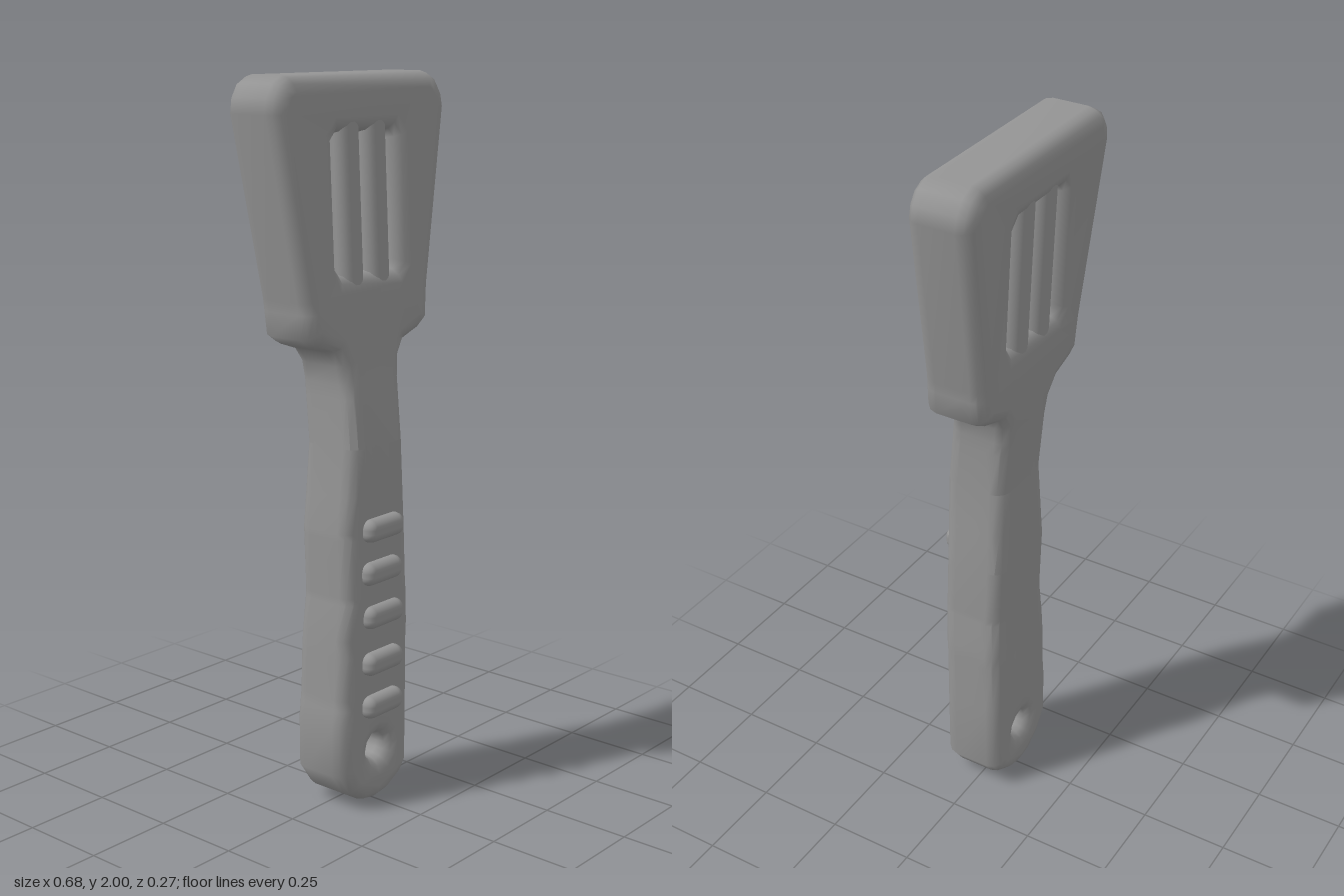
import * as THREE from 'three';
import { mergeVertices } from 'three/addons/utils/BufferGeometryUtils.js';
import { RoundedBoxGeometry } from 'three/addons/geometries/RoundedBoxGeometry.js';

const THICK = 0.185, BEVEL = 0.042;
// Centre line of the side profile: [y, z]
const SPINE = [[0, 0.01], [0.45, 0.01], [0.6, 0.016], [0.78, 0.011], [1.03, 0.015], [1.3, -0.013], [2, -0.044]];

function spineZ(y) {
  let i = 1;
  while (i < SPINE.length - 1 && y > SPINE[i][0]) i++;
  const [y0, z0] = SPINE[i - 1], [y1, z1] = SPINE[i];
  return z0 + (z1 - z0) * (y - y0) / (y1 - y0);
}

// Shift every vertex in z so the part follows the spine
function bend(geo) {
  const p = geo.attributes.position;
  for (let i = 0; i < p.count; i++) p.setZ(i, p.getZ(i) + spineZ(p.getY(i)));
  return geo;
}

// Cut all triangles along the plane y = level
function splitAt(tris, level) {
  const out = [];
  for (const t of tris) {
    const side = t.map(v => (Math.abs(v.y - level) < 1e-5 ? 0 : Math.sign(v.y - level)));
    if (!side.includes(1) || !side.includes(-1)) { out.push(t); continue; }
    const above = [], below = [];
    t.forEach((v, i) => {
      const j = (i + 1) % 3, w = t[j];
      if (side[i] >= 0) above.push(v);
      if (side[i] <= 0) below.push(v);
      if (side[i] * side[j] < 0) {
        const c = v.clone().lerp(w, (level - v.y) / (w.y - v.y));
        above.push(c);
        below.push(c);
      }
    });
    for (const poly of [above, below]) {
      for (let k = 2; k < poly.length; k++) out.push([poly[0], poly[k - 1], poly[k]]);
    }
  }
  return out;
}

const toPoints = list => list.map(([x, y]) => new THREE.Vector2(x, y));

function bodyGeometry() {
  // Blade outline on one side, from neck to top edge
  const blade = [[0.109, 1.2], [0.115, 1.25], [0.14, 1.288], [0.21, 1.312], [0.243, 1.335], [0.252, 1.43],
    [0.341, 1.905], [0.334, 1.945], [0.312, 1.98], [0.275, 2]];
  const gripRight = [[0, 0], [0.05, 0.008], [0.11, 0.042], [0.137, 0.08], [0.138, 0.3], [0.138, 0.5],
    [0.128, 0.62], [0.126, 0.78], [0.106, 1.03]];
  const gripLeft = [[-0.113, 1.03], [-0.132, 0.8], [-0.13, 0.62], [-0.14, 0.5], [-0.146, 0.33],
    [-0.155, 0.25], [-0.154, 0.11], [-0.11, 0.045], [-0.05, 0.008]];
  const mirrored = blade.map(([x, y]) => [-x, y]).reverse();
  const shape = new THREE.Shape(toPoints([...gripRight, ...blade, ...mirrored, ...gripLeft]));

  // Blade window, later divided into slots by the bars
  shape.holes.push(new THREE.Path(toPoints([[-0.123, 1.51], [-0.123, 1.83], [-0.105, 1.85], [0.105, 1.85],
    [0.123, 1.83], [0.123, 1.51], [0.105, 1.49], [-0.105, 1.49]])));
  // Hanging hole
  const ring = [];
  for (let i = 0; i < 12; i++) {
    const a = -i * Math.PI / 6;
    ring.push([0.036 * Math.cos(a), 0.157 + 0.036 * Math.sin(a)]);
  }
  shape.holes.push(new THREE.Path(toPoints(ring)));

  const depth = THICK - 2 * BEVEL;
  let geo = new THREE.ExtrudeGeometry(shape, {
    depth, bevelEnabled: true, bevelSize: BEVEL, bevelOffset: -BEVEL, bevelThickness: BEVEL, bevelSegments: 3
  });
  geo.translate(0, 0, -depth / 2);

  const p = geo.attributes.position;
  let tris = [];
  for (let i = 0; i < p.count; i += 3) {
    tris.push([0, 1, 2].map(k => new THREE.Vector3().fromBufferAttribute(p, i + k)));
  }
  for (const y of [0.3, 0.45, 0.6, 0.78, 0.9, 1.03, 1.16, 1.3, 1.4]) tris = splitAt(tris, y);
  geo = mergeVertices(new THREE.BufferGeometry().setFromPoints(tris.flat()), 1e-4);
  bend(geo).computeVertexNormals();
  return geo;
}

export function createModel() {
  const group = new THREE.Group();
  const material = new THREE.MeshStandardMaterial({ color: 0x949494 });
  const add = (name, geo) => {
    const mesh = new THREE.Mesh(geo, material);
    mesh.name = name;
    group.add(mesh);
  };

  add('bladeAndHandle', bodyGeometry());

  // Rounded bars between the slots, their ends sunk into the blade
  for (const s of [-1, 1]) {
    const bar = new RoundedBoxGeometry(0.083, 0.54, 0.178, 3, 0.034);
    add(s < 0 ? 'rightSlotBar' : 'leftSlotBar', bend(bar.translate(s * 0.0535, 1.67, 0)));
  }

  // Raised grip ribs on the front of the handle
  [0.295, 0.42, 0.555, 0.68, 0.8].forEach((y, i) => {
    const rib = new RoundedBoxGeometry(0.15, 0.064, 0.08, 3, 0.026);
    add('gripRib' + (i + 1), rib.translate(i === 3 ? -0.006 : 0, y, 0.095));
  });

  return group;
}
